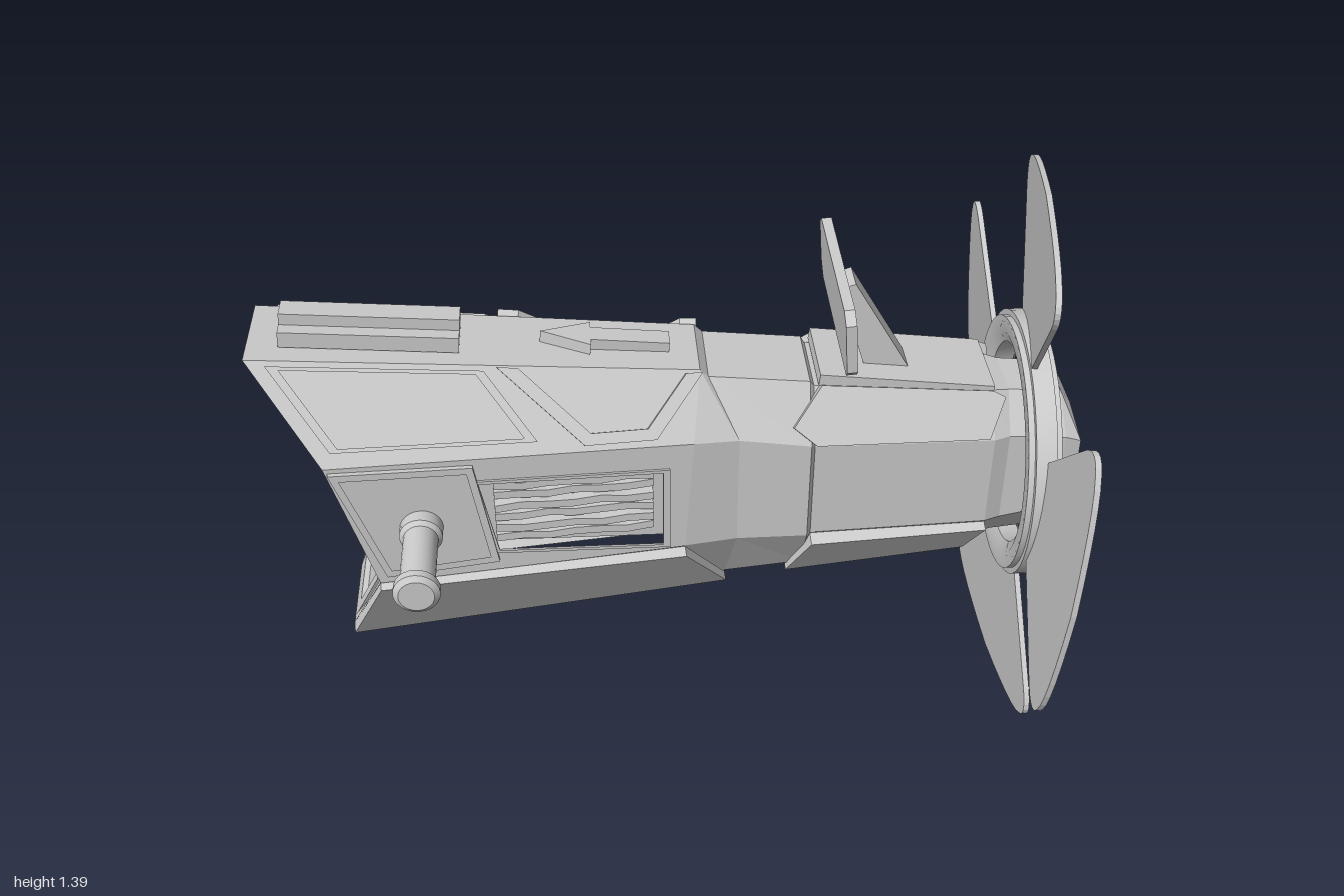
import * as THREE from 'three';
import { toCreasedNormals } from 'three/addons/utils/BufferGeometryUtils.js';

const flat = new THREE.MeshStandardMaterial({ color: 0xcccccc, flatShading: true });
const smooth = new THREE.MeshStandardMaterial({ color: 0xcccccc, side: THREE.DoubleSide });

// A section is four [x, y, halfWidth] corners: top, shoulder, hip, bottom (mirrored in z)
const REAR = [[-1, 1.1, 0.12], [-0.83, 0.88, 0.26], [-0.73, 0.525, 0.253], [-0.83, 0.275, 0.115]];
const WAIST = [[0.06, 1.015, 0.1], [0.04, 0.87, 0.2], [0.02, 0.56, 0.2], [0.12, 0.38, 0.1]];
const COLLAR = [[0.08, 0.995, 0.1], [0.15, 0.86, 0.18], [0.15, 0.56, 0.18], [0.13, 0.39, 0.1]];
const COLLAR_END = [[0.325, 0.97, 0.1], [0.325, 0.835, 0.18], [0.325, 0.56, 0.18], [0.325, 0.41, 0.1]];
const NECK = [[0.335, 0.955, 0.095], [0.335, 0.825, 0.168], [0.335, 0.56, 0.168], [0.335, 0.425, 0.095]];
const NECK_END = [[0.77, 0.915, 0.085], [0.78, 0.81, 0.15], [0.78, 0.56, 0.15], [0.76, 0.465, 0.085]];
const NOSE = [[0.82, 0.905, 0.07], [0.82, 0.81, 0.135], [0.82, 0.56, 0.135], [0.82, 0.47, 0.07]];
const NOSE_MID = [[0.95, 0.895, 0.065], [0.96, 0.8, 0.135], [0.96, 0.59, 0.135], [0.945, 0.48, 0.065]];
const NOSE_TIP = [[0.982, 0.85, 0.055], [1, 0.785, 0.13], [1, 0.605, 0.13], [0.98, 0.54, 0.055]];
const TIP_RIM = [[0.978, 0.815, 0.045], [0.99, 0.765, 0.085], [0.99, 0.61, 0.085], [0.978, 0.555, 0.045]];

const shrink = (sec, k, dx) => sec.map(([x, y, w]) => [x + dx, 0.69 + (y - 0.69) * k, w * k]);

function loft(sections, skip) {
  const rings = sections.map(s => [
    ...s.map(([x, y, w]) => [x, y, w]), ...[...s].reverse().map(([x, y, w]) => [x, y, -w])]);
  const pos = [];
  const quad = (a, b, c, d) => pos.push(...a, ...b, ...c, ...a, ...c, ...d);
  for (let s = 0; s + 1 < rings.length; s++) {
    const [a, b] = [rings[s], rings[s + 1]];
    for (let i = 0; i < 8; i++) {
      const j = (i + 1) % 8;
      if (!skip(s, i)) quad(a[i], a[j], b[j], b[i]);
    }
  }
  const first = rings[0], last = rings[rings.length - 1];
  for (let i = 0; i < 3; i++) {
    quad(first[7 - i], first[6 - i], first[i + 1], first[i]);
    quad(last[i], last[i + 1], last[6 - i], last[7 - i]);
  }
  const g = new THREE.BufferGeometry();
  g.setAttribute('position', new THREE.Float32BufferAttribute(pos, 3));
  g.computeVertexNormals();
  return g;
}

// Half width of the hull between two sections at a given x, y
function surface(s0, s1) {
  return (x, y) => {
    const c = s0.map((p, i) => {
      const t = (x - p[0]) / (s1[i][0] - p[0]);
      return [p[1] + (s1[i][1] - p[1]) * t, p[2] + (s1[i][2] - p[2]) * t];
    });
    const k = y > c[1][0] ? 0 : y > c[2][0] ? 1 : 2;
    const t = (y - c[k][0]) / (c[k + 1][0] - c[k][0]);
    return c[k][1] + (c[k + 1][1] - c[k][1]) * t;
  };
}

// Extruded outline, optionally with a hole
function slab(points, depth, hole) {
  const shape = new THREE.Shape(points.map(p => new THREE.Vector2(...p)));
  if (hole) shape.holes.push(new THREE.Path(hole.map(p => new THREE.Vector2(...p))));
  return new THREE.ExtrudeGeometry(shape, { depth, bevelEnabled: false });
}

// Flat plate lying on the hull, thickened along its outward normal
function plateGeometry(width, side, xy, depth, hole, base) {
  const to3 = ([x, y]) => new THREE.Vector3(x, y, side * width(x, y));
  const pts = xy.map(to3);
  const n = new THREE.Vector3();
  pts.forEach((p, i) => n.add(p.clone().cross(pts[(i + 1) % pts.length])));
  n.normalize();
  if (n.z * side < 0) n.negate();
  const u = pts[1].clone().sub(pts[0]);
  u.addScaledVector(n, -u.dot(n)).normalize();
  const v = n.clone().cross(u);
  const to2 = p => {
    const d = p.clone().sub(pts[0]);
    return [d.dot(u), d.dot(v)];
  };
  return slab(pts.map(to2), depth, hole && hole.map(h => to2(to3(h))))
    .translate(0, 0, base)
    .applyMatrix4(new THREE.Matrix4().makeBasis(u, v, n).setPosition(pts[0]));
}

function inset(xy, k) {
  const cx = xy.reduce((s, p) => s + p[0], 0) / xy.length;
  const cy = xy.reduce((s, p) => s + p[1], 0) / xy.length;
  return xy.map(([x, y]) => [cx + (x - cx) * k, cy + (y - cy) * k]);
}

export function createModel() {
  const model = new THREE.Group();
  const body = new THREE.Group();
  body.name = 'body';
  body.position.z = 0.008;
  model.add(body);
  const add = (parent, name, geometry, material = flat) => {
    const m = new THREE.Mesh(geometry, material);
    m.name = name;
    parent.add(m);
    return m;
  };
  const pair = (name, width, xy, depth, hole = null, base = -0.01) => {
    for (const s of [1, -1]) add(body, name, plateGeometry(width, s, xy, depth, hole, base));
  };

  // Hull with a hollow rear, open side walls and a dished nose
  add(body, 'hull', loft([shrink(REAR, 0.65, 0.16), shrink(REAR, 0.87, 0.02), REAR, WAIST, COLLAR, COLLAR_END, NECK,
    NECK_END, NOSE, NOSE_MID, NOSE_TIP, TIP_RIM, shrink(TIP_RIM, 0.95, -0.015)],
  (s, i) => s === 2 && (i === 1 || i === 5)));

  // Framed panel closing the lower rear
  const rearPlate = [[-0.105, 0], [0.105, 0], [0.225, 0.23], [-0.225, 0.23]];
  const lowerRear = new THREE.Group();
  lowerRear.name = 'lowerRear';
  lowerRear.position.set(-0.81, 0.295, 0);
  lowerRear.rotation.z = -0.36;
  body.add(lowerRear);
  add(lowerRear, 'lowerRearPanel', slab(rearPlate, 0.03).rotateY(Math.PI / 2));
  add(lowerRear, 'lowerRearFrame', slab(rearPlate, 0.02, inset(rearPlate, 0.78))
    .rotateY(Math.PI / 2).translate(-0.012, 0, 0));

  // Side walls with a recessed vent and uneven slats
  const main = surface(REAR, WAIST), neck = surface(NECK, NECK_END);
  const wallZ = x => 0.2 + (0.04 - x) * 0.069;
  const vent = [[-0.475, 0.805], [-0.035, 0.795], [-0.035, 0.575], [-0.435, 0.6]];
  pair('sideWall', wallZ, [REAR[1], WAIST[1], WAIST[2], REAR[2]], 0.04, vent, -0.04);
  pair('ventBack', wallZ, inset(vent, 1.04), 0.01, null, -0.05);
  pair('ventFrame', wallZ, inset(vent, 1.08), 0.016, vent);
  for (let r = 0; r < 6; r++) {
    const y = 0.618 + r * 0.032, top = [], bottom = [];
    for (let i = 0; i <= 6; i++) {
      const x = -0.44 + i * 0.064, w = 0.004 * Math.sin(i * 2.3 + r * 1.7);
      top.push([x, y + 0.011 + w]);
      bottom.unshift([x, y - 0.01 + w]);
    }
    pair('ventSlat', wallZ, [...top, ...bottom], 0.022 + 0.006 * (r % 2), null, -0.042);
  }

  // Raised frames and armour plates
  const hatch = [[-0.82, 0.868], [-0.485, 0.86], [-0.437, 0.57], [-0.71, 0.55]];
  pair('hatchFrame', wallZ, hatch, 0.022, inset(hatch, 0.88));
  const rearPanel = [[-0.95, 1.085], [-0.45, 1.045], [-0.33, 0.9], [-0.81, 0.91]];
  pair('rearPanelFrame', main, rearPanel, 0.02, inset(rearPanel, 0.9));
  pair('frontPanelTrim', main, [[-0.42, 1.05], [-0.22, 0.885], [-0.05, 0.885], [0.065, 1.01],
    [0.025, 1.01], [-0.07, 0.908], [-0.205, 0.908], [-0.37, 1.045]], 0.03);
  pair('lowerSkirt', main, [[-0.73, 0.522], [0.02, 0.555], [0.13, 0.38], [-0.83, 0.275]], 0.03);
  pair('neckUpperPlate', neck,
    [[0.28, 0.87], [0.35, 0.955], [0.77, 0.915], [0.8, 0.9], [0.76, 0.815], [0.335, 0.828]], 0.04);
  pair('neckLowerPlate', neck, [[0.335, 0.555], [0.78, 0.555], [0.74, 0.46], [0.285, 0.4]], 0.042);
  const neckTop = add(body, 'neckTopPlate', new THREE.BoxGeometry(0.43, 0.03, 0.21));
  neckTop.position.set(0.56, 0.95, 0);
  neckTop.rotation.z = -0.12;

  // Rail and pointer along the top
  const rail = new THREE.Group();
  rail.name = 'topRail';
  rail.position.set(-0.715, 1.1, 0);
  rail.rotation.z = -0.08;
  body.add(rail);
  for (const [h, y, w] of [[0.04, 0, 0.13], [0.058, 0.02, 0.06]])
    add(rail, 'railStep', new THREE.BoxGeometry(0.42, h, w)).position.y = y;
  const arrow = [[-0.16, 0], [-0.04, 0.05], [-0.04, 0.027], [0.15, 0.027], [0.15, -0.027], [-0.04, -0.027], [-0.04, -0.05]];
  const pointer = add(body, 'topPointer', slab(arrow, 0.04).rotateX(-Math.PI / 2));
  pointer.position.set(-0.16, 1.02, 0);
  pointer.rotation.z = -0.1;

  // Side handle on the model's front
  const knob = [[0, 0.24], [0.052, 0.24], [0.052, 0.28], [0.042, 0.29], [0.042, 0.455], [0.055, 0.465], [0.055, 0.485], [0.042, 0.495], [0, 0.495]];
  const handle = add(body, 'sideHandle', toCreasedNormals(
    new THREE.LatheGeometry(knob.map(p => new THREE.Vector2(...p)), 24).rotateX(Math.PI / 2), 0.6), smooth);
  handle.position.set(-0.617, 0.685, 0);

  // Sight plate on a slanted strut
  const strut = [[0.4, 1.19], [0.43, 1.2], [0.46, 1.15], [0.58, 0.95], [0.47, 0.95], [0.415, 1.12]];
  add(body, 'sightStrut', slab(strut, 0.08).translate(0, 0, -0.04));
  const plate = [[-0.21, -0.09], [0.2, -0.085], [0.23, -0.05], [0.23, 0.06], [0.2, 0.085], [-0.2, 0.085], [-0.23, 0.06], [-0.23, -0.07]];
  const sight = add(body, 'sightPlate', slab(plate, 0.025).translate(0, 0, -0.0125).rotateY(Math.PI / 2));
  sight.position.set(0.396, 1.155, 0);
  sight.rotation.set(0.04, 0, 0.08);

  // Fan: stepped ring and four blades, each with its own pitch
  const fan = new THREE.Group();
  fan.name = 'fan';
  fan.position.set(0.878, 0.696, 0.003);
  fan.rotation.y = -0.035;
  model.add(fan);
  const ring = [[0.255, -0.025], [0.285, -0.04], [0.322, -0.04], [0.322, -0.025], [0.337, -0.025], [0.337, 0.025],
    [0.322, 0.025], [0.322, 0.04], [0.285, 0.04], [0.255, 0.025], [0.255, -0.025]];
  add(fan, 'fanRing', toCreasedNormals(
    new THREE.LatheGeometry(ring.map(p => new THREE.Vector2(...p)), 48).rotateZ(-Math.PI / 2), 0.5), smooth)
    .position.z = 0.007;
  const outline = new THREE.Shape();
  outline.moveTo(-0.14, 0.3);
  outline.lineTo(-0.35, 0.54);
  outline.quadraticCurveTo(-0.395, 0.6, -0.34, 0.63);
  outline.quadraticCurveTo(-0.28, 0.675, 0, 0.693);
  outline.quadraticCurveTo(0.28, 0.675, 0.34, 0.63);
  outline.quadraticCurveTo(0.395, 0.6, 0.35, 0.54);
  outline.lineTo(0.14, 0.3);
  const bladeGeometry = new THREE.ExtrudeGeometry(outline, { depth: 0.014, bevelEnabled: false, curveSegments: 6 })
    .translate(0, 0, -0.007).rotateY(Math.PI / 2);
  [0.115, 0.065, 0.065, 0.09].forEach((pitch, i) => {
    add(fan, 'fanBlade', bladeGeometry).rotation.set(i * Math.PI / 2 - 0.02, -pitch, 0);
  });

  return model;
}
